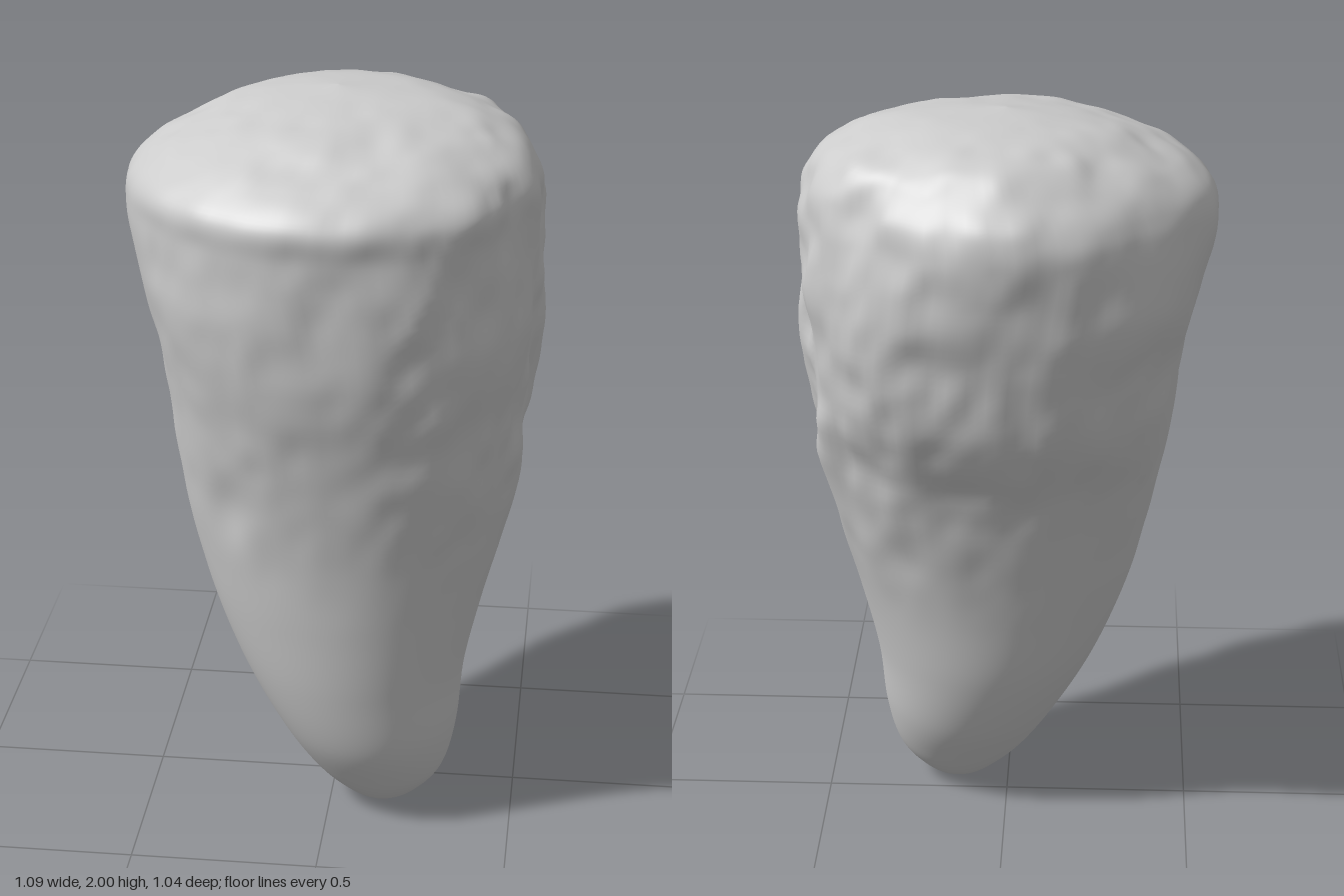
import * as THREE from 'three';

// Cross-sections from tip to crown: height, min x, max x, min z, max z
const SECTIONS = [
  [0, 0.14, 0.14, 0.1, 0.1],
  [0.01, 0.085, 0.195, 0.05, 0.16],
  [0.045, 0.03, 0.25, 0, 0.212],
  [0.12, -0.05, 0.31, -0.06, 0.27],
  [0.25, -0.14, 0.343, -0.14, 0.335],
  [0.43, -0.24, 0.36, -0.205, 0.368],
  [0.63, -0.32, 0.405, -0.245, 0.385],
  [0.83, -0.375, 0.46, -0.288, 0.4],
  [1.03, -0.415, 0.5, -0.345, 0.43],
  [1.22, -0.44, 0.515, -0.43, 0.465],
  [1.4, -0.465, 0.527, -0.475, 0.5],
  [1.57, -0.51, 0.527, -0.503, 0.51],
  [1.71, -0.545, 0.522, -0.515, 0.515],
  [1.8, -0.53, 0.517, -0.495, 0.515],
  [1.87, -0.46, 0.48, -0.44, 0.43],
  [1.92, -0.36, 0.41, -0.38, 0.32],
  [1.96, -0.26, 0.32, -0.3, 0.2],
  [1.985, -0.13, 0.2, -0.2, 0.06],
  [2.0, 0, 0, -0.04, -0.04],
];
// Roundness exponent of each quadrant: [on the body, at the rim and crown]
const FRONT_LEFT = [2.25, 2.1], FRONT_RIGHT = [2.2, 1.85];
const BACK_LEFT = [2.2, 1.97], BACK_RIGHT = [2.5, 1.75];
const ROWS = 144, SIDES = 120;
const { smoothstep, lerp } = THREE.MathUtils;

const bump = (v, centre, width) => Math.exp(-(((v - centre) / width) ** 2));

// Lattice noise, -1 to 1
function hash(x, y, z) {
  const h = Math.sin(x * 127.1 + y * 311.7 + z * 74.7) * 43758.5453;
  return 2 * (h - Math.floor(h)) - 1;
}
function noise(x, y, z) {
  const [i, j, k] = [x, y, z].map(Math.floor);
  const [u, v, w] = [x - i, y - j, z - k].map((t) => t * t * (3 - 2 * t));
  const edge = (b, c) => lerp(hash(i, b, c), hash(i + 1, b, c), u);
  const face = (c) => lerp(edge(j, c), edge(j + 1, c), v);
  return lerp(face(k), face(k + 1), w);
}
const rough = (x, y, z) =>
  noise(8 * x, 5 * y, 8 * z) + 0.6 * noise(17 * x + 9, 11 * y, 17 * z);

// Radial offset: rough left flank, long grooves, small chip on the front
function relief(a, x, y, z) {
  const upper = smoothstep(y, 0.55, 1.3);
  const crown = 1 - 0.6 * smoothstep(y, 1.83, 1.95);
  const left = (0.5 + 0.5 * Math.cos(a + 0.35)) ** 2;
  let d = rough(x, y, z) * upper * crown * (0.007 + 0.017 * left);
  if (x > 0) {
    d -= 0.025 * bump(z, 0.06, 0.045) * bump(y, 1.22, 0.15);
    d -= 0.02 * bump(z, -0.02 + (y - 1) * -0.25, 0.04) * bump(y, 0.97, 0.18);
  }
  if (z > 0) d -= 0.02 * bump(x, -0.25, 0.05) * bump(y, 0.98, 0.1);
  return d;
}

function roundness(c, s, y) {
  const front = s >= 0, left = c >= 0;
  const [body, rim] = front
    ? (left ? FRONT_LEFT : FRONT_RIGHT)
    : (left ? BACK_LEFT : BACK_RIGHT);
  return lerp(lerp(2, body, smoothstep(y, 0.4, 1.3)), rim, smoothstep(y, 1.45, 1.75));
}

function createStoneGeometry() {
  const rail = (pick) => new THREE.CatmullRomCurve3(SECTIONS.map(pick), false, 'catmullrom', 0.5);
  const low = rail(([y, x0, , z0]) => new THREE.Vector3(x0, y, z0));
  const high = rail(([y, , x1, , z1]) => new THREE.Vector3(x1, y, z1));
  const positions = [], indices = [];

  for (let i = 0; i <= ROWS; i++) {
    const p = low.getPoint(i / ROWS), q = high.getPoint(i / ROWS);
    const cx = (p.x + q.x) / 2, cz = (p.z + q.z) / 2;
    const rx = Math.max(0, q.x - p.x) / 2, rz = Math.max(0, q.z - p.z) / 2;
    for (let j = 0; j < SIDES; j++) {
      const a = (j / SIDES) * Math.PI * 2, c = Math.cos(a), s = Math.sin(a);
      const n = roundness(c, s, p.y);
      const r = (Math.abs(c) ** n + Math.abs(s) ** n) ** (-1 / n);
      const x = cx + rx * r * c, z = cz + rz * r * s;
      const d = relief(a, x, p.y, z) * Math.min(1, rx / 0.3);
      // Faint unevenness over the crown
      const lift = 0.008 * rough(x, 0, z) * bump(p.y, 1.92, 0.06) * Math.min(1, rx / 0.2);
      positions.push(x + d * c, Math.min(2, p.y + lift), z + d * s);
      if (i < ROWS) {
        const k = i * SIDES + j, m = i * SIDES + ((j + 1) % SIDES);
        indices.push(k, k + SIDES, m, m, k + SIDES, m + SIDES);
      }
    }
  }
  const geometry = new THREE.BufferGeometry();
  geometry.setAttribute('position', new THREE.Float32BufferAttribute(positions, 3));
  geometry.setIndex(indices);
  geometry.computeVertexNormals();
  return geometry;
}

export function createModel() {
  const group = new THREE.Group();
  group.name = 'taperedStone';
  const body = new THREE.Mesh(
    createStoneGeometry(), new THREE.MeshStandardMaterial({ color: 0xcccccc }));
  body.name = 'stoneBody';
  group.add(body);
  return group;
}
